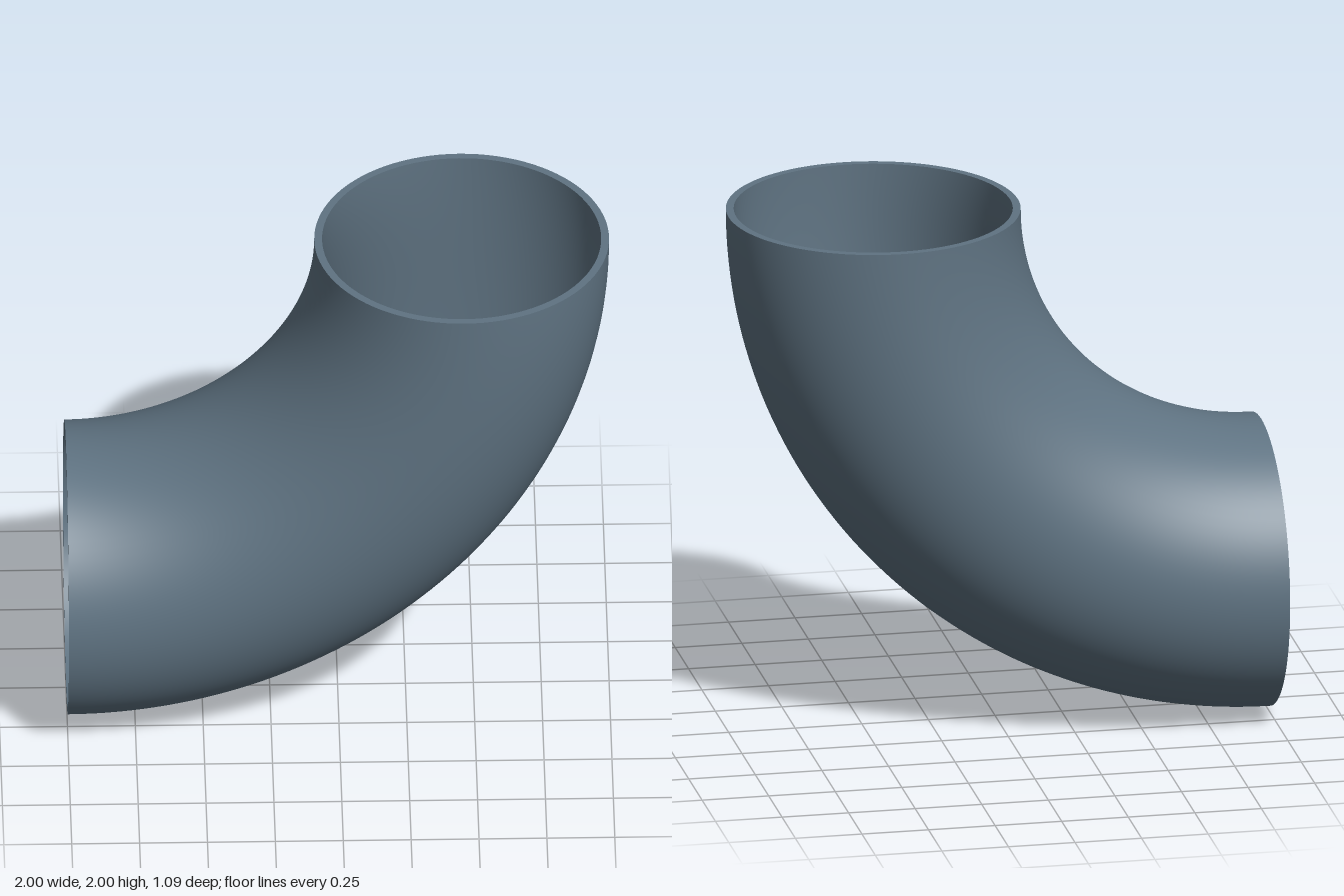
import * as THREE from 'three';

const BEND = 1.457;   // centreline radius of the elbow
const OUTER = 0.543;  // outside radius of the pipe
const INNER = 0.514;  // bore radius
const SIDES = 96;
const STEPS = 64;

// Quarter torus running from the left opening up to the top opening
function quarterBend(radius) {
  return new THREE.TorusGeometry(BEND, radius, SIDES, STEPS, Math.PI / 2)
    .rotateZ(-Math.PI / 2)
    .translate(-1, 2, 0);
}

// Turn a surface inside out so that it shows from within
function turnInward(geometry) {
  const index = geometry.index;
  for (let i = 0; i < index.count; i += 3) {
    const a = index.getX(i);
    index.setX(i, index.getX(i + 2));
    index.setX(i + 2, a);
  }
  const normal = geometry.attributes.normal;
  for (let i = 0; i < normal.count; i++) {
    normal.setXYZ(i, -normal.getX(i), -normal.getY(i), -normal.getZ(i));
  }
  return geometry;
}

export function createModel() {
  const group = new THREE.Group();
  group.name = 'pipeElbow';
  const material = new THREE.MeshStandardMaterial({ color: 0x5f7382 });

  const add = (name, geometry) => {
    const mesh = new THREE.Mesh(geometry, material);
    mesh.name = name;
    group.add(mesh);
  };

  // Pipe wall, outside and inside
  add('outerWall', quarterBend(OUTER));
  add('innerWall', turnInward(quarterBend(INNER)));

  // Flat rims closing the wall at both openings
  const rim = () => new THREE.RingGeometry(INNER, OUTER, SIDES);
  add('topRim', rim().rotateX(-Math.PI / 2).translate(BEND - 1, 2, 0));
  add('sideRim', rim().rotateY(-Math.PI / 2).translate(-1, 2 - BEND, 0));

  return group;
}
